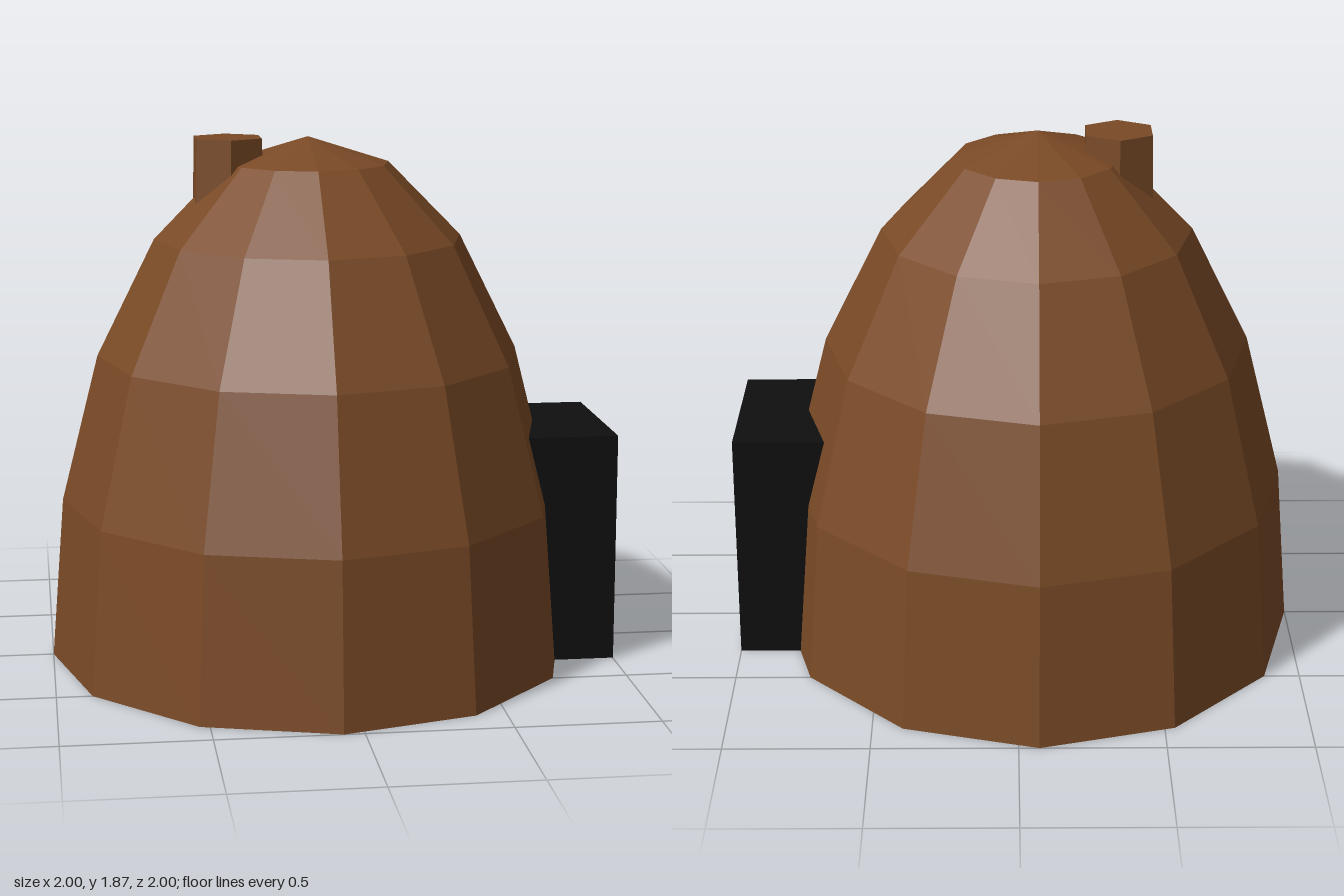
import * as THREE from 'three';

export function createModel() {
  const model = new THREE.Group();
  model.name = 'domeHut';
  const clay = new THREE.MeshStandardMaterial({ color: 0x7a4a26, flatShading: true });
  clay.name = 'brown clay';
  const dark = new THREE.MeshStandardMaterial({ color: 0x0f0f0f, flatShading: true });
  dark.name = 'black entrance';

  const add = (name, geometry, material, x, y, z) => {
    const mesh = new THREE.Mesh(geometry, material);
    mesh.name = name;
    mesh.position.set(x, y, z);
    model.add(mesh);
    return mesh;
  };

  // Twelve-sided dome, slightly narrower across x, with a closed underside
  const centre = -0.07, rx = 0.93, height = 1.865;
  add('dome', new THREE.SphereGeometry(1, 12, 5, 0, Math.PI * 2, 0, Math.PI / 2), clay, centre, 0, 0)
    .scale.set(rx, height, 1);
  add('floor', new THREE.CircleGeometry(1, 12).rotateX(Math.PI / 2), clay, centre, 0, 0)
    .scale.set(rx, 1, 1);

  // Hexagonal smoke vent set into the roof
  add('chimney', new THREE.CylinderGeometry(0.132, 0.142, 0.4, 6), clay, -0.353, height - 0.2, 0);

  // Box doorway, raised a hair so it does not overlap the floor plane
  add('doorway', new THREE.BoxGeometry(0.6, 0.819, 0.6), dark, 0.7, 0.4115, 0);

  return model;
}
